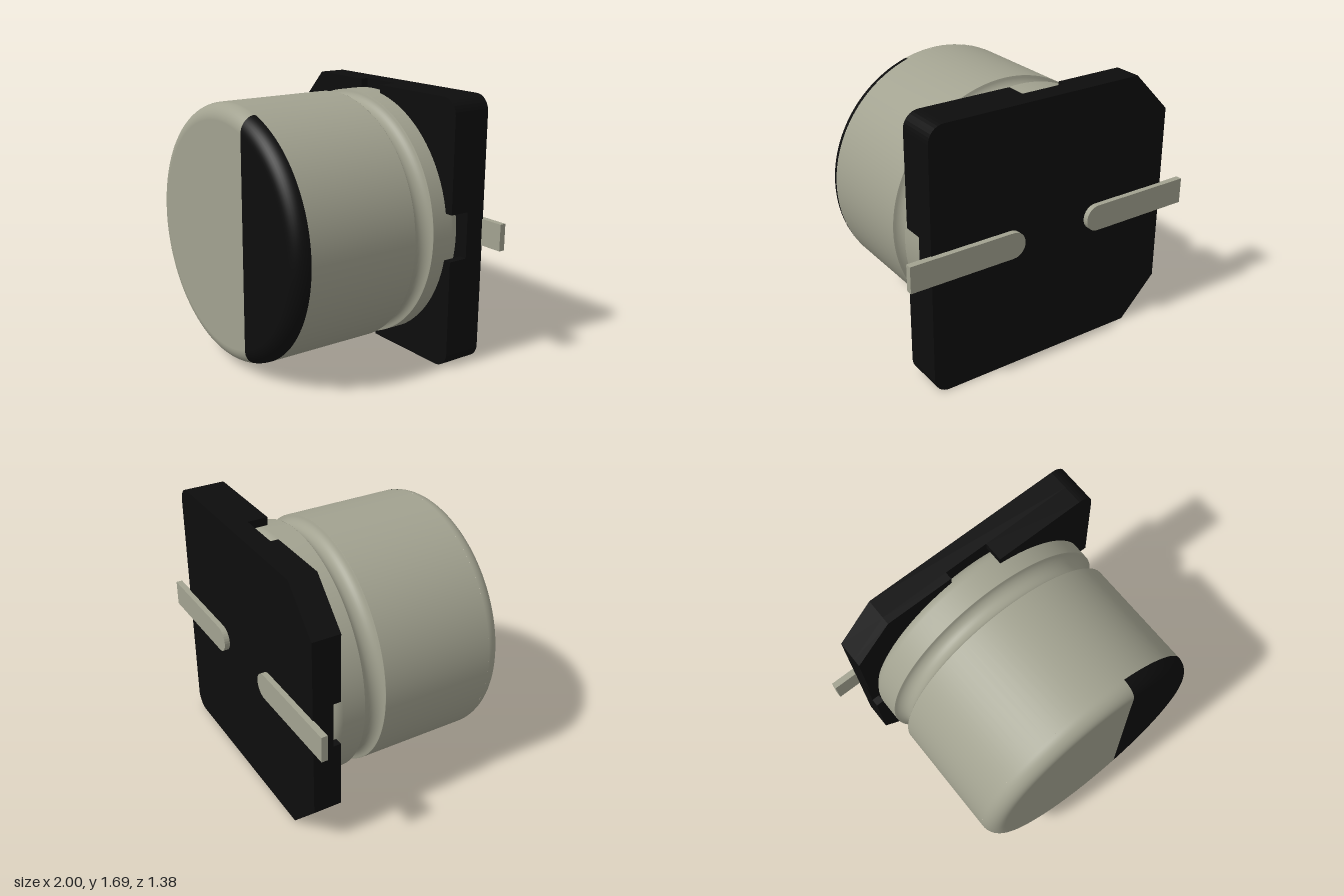
import * as THREE from 'three';
import { ParametricGeometry } from 'three/addons/geometries/ParametricGeometry.js';

const HALF = 0.845;      // half width of the base, also the height of the axis
const R = 0.805;         // can radius
const FILLET = 0.1;
const FRONT = 0.69;
const MARK_X = 0.245;    // edge of the polarity mark

export function createModel() {
  const metal = new THREE.MeshStandardMaterial({ color: 0xa2a290 });
  metal.name = 'satin metal';
  const black = new THREE.MeshStandardMaterial({ color: 0x0d0d0d });
  black.name = 'black plastic';

  const model = new THREE.Group();
  model.name = 'surfaceMountCapacitor';

  const add = (name, geometry, material, z = 0) => {
    const mesh = new THREE.Mesh(geometry, material);
    mesh.name = name;
    mesh.position.set(0, HALF, z);
    model.add(mesh);
    return mesh;
  };
  const arc = (cx, cy, r, from, to, n) => Array.from({ length: n + 1 }, (_, i) => {
    const a = from + (to - from) * i / n;
    return new THREE.Vector2(cx + r * Math.cos(a), cy + r * Math.sin(a));
  });
  const extrude = (points, depth) =>
    new THREE.ExtrudeGeometry(new THREE.Shape(points), { depth, bevelEnabled: false });

  // Can wall, split at its sharp edges; profile points are (radius, z)
  const turned = (name, profile) =>
    add(name, new THREE.LatheGeometry(profile, 96).rotateX(Math.PI / 2), metal);
  const v = (x, y) => new THREE.Vector2(x, y);
  turned('canBody', [v(R, -0.155), v(R, FRONT - FILLET)]);
  turned('canGroove', [
    v(R, -0.297),
    ...arc(R + 0.008, -0.226, 0.07, 1.5 * Math.PI - 0.12, 0.5 * Math.PI + 0.12, 16),
    v(R, -0.155),
  ]);
  turned('canRear', [
    v(0, -0.53), ...arc(R - 0.09, -0.44, 0.09, -Math.PI / 2, 0, 8), v(R, -0.297),
  ]);

  // Rounded front rim and flat face, split along the straight edge of the mark
  const frontPart = (name, material, marked) => {
    const range = (r) => {
      const a = Math.acos(MARK_X / r);
      return marked ? [-a, a] : [a, 2 * Math.PI - a];
    };
    const rim = new ParametricGeometry((u, t, target) => {
      const b = t * Math.PI / 2;
      const r = R - FILLET + FILLET * Math.cos(b);
      const [from, to] = range(r);
      const a = from + (to - from) * u;
      target.set(r * Math.cos(a), r * Math.sin(a), FRONT - FILLET + FILLET * Math.sin(b));
    }, 64, 10);
    add(name + 'Rim', rim, material);
    const [from, to] = range(R - FILLET);
    const face = new THREE.ShapeGeometry(new THREE.Shape(arc(0, 0, R - FILLET, from, to, 64)));
    add(name + 'Face', face, material, FRONT);
  };
  frontPart('canFront', metal, false);
  frontPart('polarityMark', black, true);

  // Outer corner of the base: rounded on the left, chamfered on the right
  const corner = (sx, sy) => {
    const points = sx > 0
      ? arc(HALF - 0.1, HALF - 0.1, 0.1, 0, Math.PI / 2, 8)
      : [v(HALF, 0.588), v(0.595, HALF)];
    return points.map((p) => v(p.x * sx, p.y * sy));
  };

  // Base plate
  add('basePlate', extrude([
    ...corner(1, 1), ...corner(-1, 1).reverse(), ...corner(-1, -1), ...corner(1, -1).reverse(),
  ], 0.13), black, -0.66);

  // Corner walls hugging the can, with a gap in the middle of each side
  const gap = 0.147;
  const inner = R + 0.002;
  const a0 = Math.asin(gap / inner);
  for (const sx of [1, -1]) {
    for (const sy of [1, -1]) {
      const points = [
        v(HALF * sx, gap * sy),
        ...corner(sx, sy),
        v(gap * sx, HALF * sy),
        ...arc(0, 0, inner, Math.PI / 2 - a0, a0, 20).map((p) => v(p.x * sx, p.y * sy)),
      ];
      const name = (sy > 0 ? 'upper' : 'lower') + (sx > 0 ? 'Left' : 'Right') + 'BaseWall';
      add(name, extrude(points, sx > 0 ? 0.13 : 0.05), black, -0.53);
    }
  }

  // Flat leads with rounded inner ends
  const w = 0.084;
  for (const s of [1, -1]) {
    const points = [
      v(1, -w), v(1, w), ...arc(0.23 + w, 0, w, Math.PI / 2, 1.5 * Math.PI, 16),
    ].map((p) => v(p.x * s, p.y));
    add(s > 0 ? 'leftLead' : 'rightLead', extrude(points, 0.04), metal, -0.695);
  }
  return model;
}
